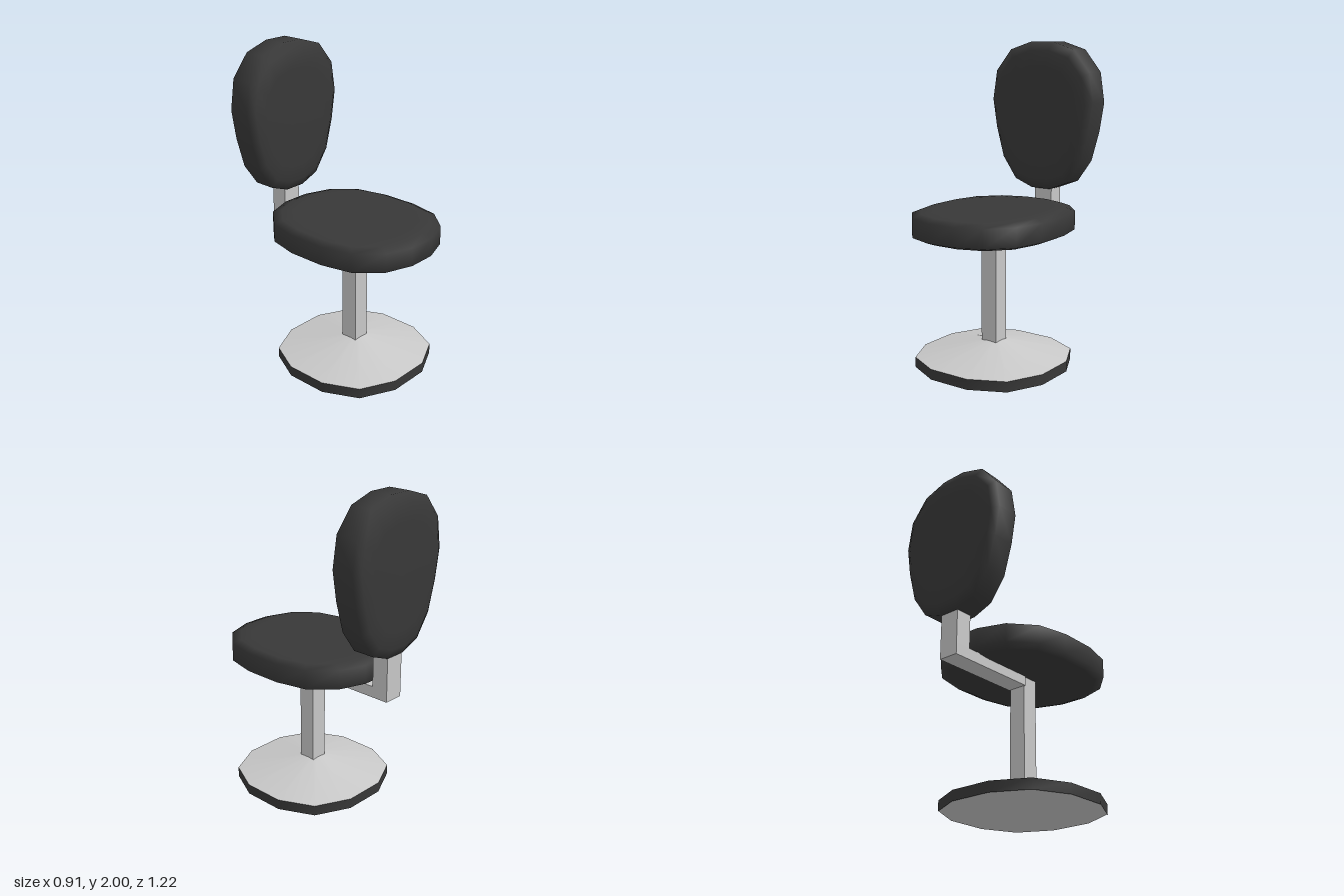
import * as THREE from 'three';

const upholstery = new THREE.MeshStandardMaterial({ color: 0x383838 });
upholstery.name = 'dark upholstery';
const metal = new THREE.MeshStandardMaterial({ color: 0xc8c8c8 });
metal.name = 'light metal';

// Mirrors a right-half outline (bottom to top) into a closed counter-clockwise loop
const mirrorX = (half) => [...half, ...half.map(([x, y]) => [-x, y]).reverse()];

// Skins scaled copies of an outline stacked along z; rings are [height, scale]
function loft(outline, rings, capStart, capEnd) {
  const n = outline.length, pos = [], idx = [];
  for (const [h, s] of rings) for (const [x, y] of outline) pos.push(x * s, y * s, h);
  for (let r = 0; r < rings.length - 1; r++) {
    for (let i = 0; i < n; i++) {
      const a = r * n + i, b = r * n + (i + 1) % n;
      idx.push(a, b, b + n, a, b + n, a + n);
    }
  }
  const cap = (r, flip) => {
    const c = pos.length / 3;
    pos.push(0, 0, rings[r][0]);
    for (let i = 0; i < n; i++) {
      const a = r * n + i, b = r * n + (i + 1) % n;
      idx.push(c, flip ? b : a, flip ? a : b);
    }
  };
  if (capStart) cap(0, true);
  if (capEnd) cap(rings.length - 1, false);
  const g = new THREE.BufferGeometry();
  g.setAttribute('position', new THREE.Float32BufferAttribute(pos, 3));
  g.setIndex(idx);
  g.computeVertexNormals();
  return g;
}

export function createModel() {
  const group = new THREE.Group();
  const add = (name, geometry, material, x, y, z) => {
    const mesh = new THREE.Mesh(geometry, material);
    mesh.name = name;
    mesh.position.set(x, y, z);
    group.add(mesh);
  };
  const box = (name, w, y0, y1, z0, z1) =>
    add(name, new THREE.BoxGeometry(w, y1 - y0, z1 - z0), metal, 0, (y0 + y1) / 2, (z0 + z1) / 2);
  const axisZ = 0.09;

  // Pedestal base: dark rim, sloped cover and flat underside
  const baseOutline = mirrorX([[0.135, -0.455], [0.35, -0.35], [0.453, -0.135],
    [0.453, 0.135], [0.35, 0.35], [0.135, 0.455]]);
  const flatLoft = (outline, rings, a, b) => loft(outline, rings, a, b).rotateX(-Math.PI / 2);
  add('baseRim', flatLoft(baseOutline, [[0, 1], [0.065, 1]]), upholstery, 0, 0, axisZ);
  add('baseCover', flatLoft(baseOutline, [[0.065, 1], [0.16, 0.12]], false, true), metal, 0, 0, axisZ);
  add('baseUnderside', flatLoft(baseOutline, [[0.004, 1]], true, false), metal, 0, 0, axisZ);

  // Column and bent back support
  box('column', 0.11, 0.14, 0.86, 0.035, 0.145);
  box('supportArm', 0.128, 0.77, 0.84, -0.57, 0.04);
  box('supportUpright', 0.128, 0.77, 1.12, -0.57, -0.462);

  // Seat cushion
  const seatOutline = mirrorX([[0.09, -0.52], [0.26, -0.46], [0.39, -0.315], [0.435, -0.12],
    [0.435, 0.12], [0.39, 0.315], [0.26, 0.46], [0.09, 0.52]]);
  add('seat', flatLoft(seatOutline, [[-0.085, 0.74], [-0.079, 0.89], [-0.058, 1],
    [0.058, 1], [0.079, 0.89], [0.085, 0.74]], true, true), upholstery, 0, 0.915, axisZ);

  // Backrest cushion, narrower towards the bottom
  const backOutline = mirrorX([[0.07, -0.475], [0.2, -0.425], [0.3, -0.285], [0.355, -0.09],
    [0.385, 0.095], [0.355, 0.285], [0.24, 0.425], [0.08, 0.475]]);
  add('backrest', loft(backOutline, [[-0.107, 0.66], [-0.098, 0.88], [-0.07, 1],
    [0.07, 1], [0.098, 0.88], [0.107, 0.66]], true, true), upholstery, 0, 1.525, -0.503);

  return group;
}
